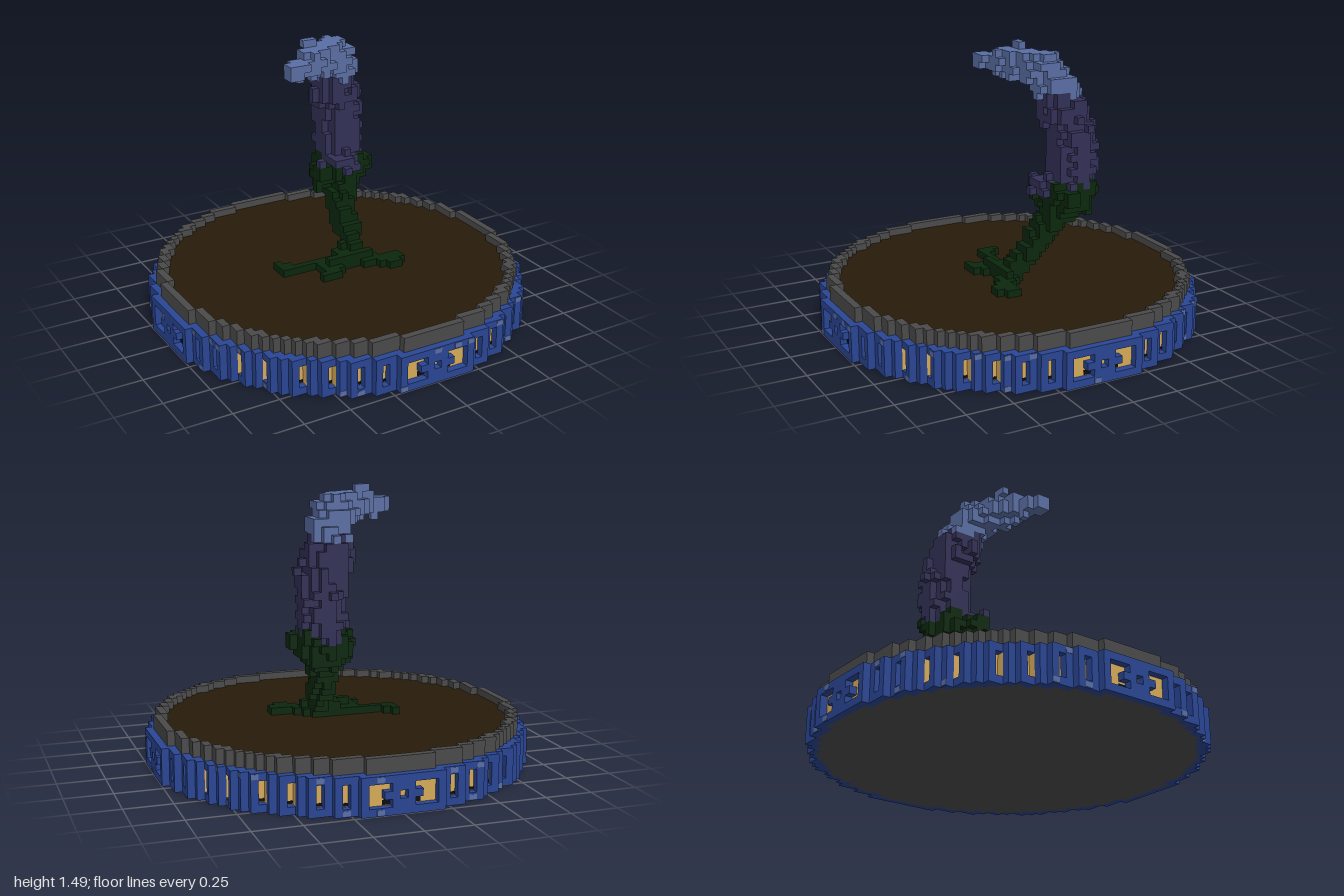
import * as THREE from 'three';
import { mergeGeometries } from 'three/addons/utils/BufferGeometryUtils.js';

const V = 2 / 51; // block size; one block column stands on the centre

const mat = (name, color) => {
  const m = new THREE.MeshStandardMaterial({ color });
  m.name = name;
  return m;
};

// small repeatable noise per block, 0..1
const hash = (i, j, k) => {
  const s = Math.sin(i * 12.99 + j * 78.23 + k * 37.72) * 43758.55;
  return s - Math.floor(s);
};

// last block of a disc (radius R in blocks) in row r
const lastBlock = (R, r) => Math.floor(Math.sqrt(R * R - r * r));

// stair-stepped circle outline
function steppedCircle(R) {
  const right = [];
  const rows = Math.floor(R);
  for (let r = -rows; r <= rows; r++) {
    const w = (lastBlock(R, r) + 0.5) * V;
    right.push(new THREE.Vector2(w, (r - 0.5) * V), new THREE.Vector2(w, (r + 0.5) * V));
  }
  const left = right.map(p => new THREE.Vector2(-p.x, p.y)).reverse();
  return right.concat(left);
}

// stepped disc, or ring if an inner radius is given; all sizes in blocks
function steppedDisc(name, R, inner, y0, y1, material) {
  const shape = new THREE.Shape(steppedCircle(R));
  if (inner) shape.holes.push(new THREE.Path(steppedCircle(inner)));
  const g = new THREE.ExtrudeGeometry(shape, { depth: (y1 - y0) * V, bevelEnabled: false });
  g.rotateX(-Math.PI / 2);
  g.translate(0, y0 * V, 0);
  const m = new THREE.Mesh(g, material);
  m.name = name;
  return m;
}

// a column of blocks from row j to row j + h
const block = (i, j, k, h = 1) =>
  new THREE.BoxGeometry(V, h * V, V).translate(i * V, (j + h / 2) * V, k * V);

export function createModel() {
  const root = new THREE.Group();
  root.name = 'sculptureOnPlinth';
  const blue = mat('blue wall', 0x294593);
  const grey = mat('grey stone', 0x4a4a4a);
  const soil = mat('brown soil', 0x271a09);
  const gold = mat('gold window', 0xd6aa58);
  const dark = mat('dark gap', 0x0a0c10);
  const green = mat('dark green', 0x0b270d);
  const purple = mat('dusky purple', 0x323056);
  const pale = mat('pale blue', 0x5a6ea4);
  const add = (name, geometry, material, parent = root) => {
    const m = new THREE.Mesh(geometry, material);
    m.name = name;
    parent.add(m);
    return m;
  };

  // plinth: blue bands above and below the window row, gold core behind it
  root.add(
    steppedDisc('lowerBand', 25.5, 24.5, 0, 1, blue),
    steppedDisc('upperBand', 25.5, 24.5, 4, 5, blue),
    steppedDisc('windowCore', 24.5, 0, 1, 4, gold),
    steppedDisc('plinthUnderside', 24.5, 0, 0, 0.5, grey),
    steppedDisc('soilBed', 23.5, 0, 5, 6, soil),
    steppedDisc('plinthRim', 24.5, 23.5, 5, 7, grey)
  );

  // window row: wall blocks with recessed openings on all four sides
  const wall = [];
  for (let i = -25; i <= 25; i++)
    for (let k = -25; k <= 25; k++) {
      const d = Math.hypot(i, k);
      if (d <= 24.5 || d > 25.5) continue;
      const u = Math.min(Math.abs(i), Math.abs(k));
      if (u === 0) wall.push(block(i, 1, k), block(i, 3, k));
      else if (u === 2) wall.push(block(i, 2, k));
      else if (![3, 4, 7, 10, 13, 16].includes(u)) wall.push(block(i, 1, k, 3));
    }
  add('windowWall', mergeGeometries(wall), blue);

  // small wall details, repeated on four sides
  for (let s = 0; s < 4; s++) {
    const side = new THREE.Group();
    side.name = 'wallSide';
    side.rotation.y = s * Math.PI / 2;
    root.add(side);
    const plate = (name, i, y, w, h, R, material) =>
      add(name, new THREE.BoxGeometry(w, h, 0.004), material, side)
        .position.set(i * V, y, (lastBlock(R, i) + 0.5) * V);
    for (const d of [-1, 1]) {
      plate('windowShadowGap', d * 2, 0.055, V, 0.025, 24.5, dark);
      for (const i of [7, 10, 13, 16]) plate('narrowGap', d * i, 0.05, V, 0.015, 24.5, dark);
    }
    // weathered patches
    for (let n = 0; n < 9; n++) {
      const i = Math.round((hash(n, s, 1) - 0.5) * 36);
      plate('palePatch', i, n % 2 ? 0.018 : 0.178, V, 0.026, 25.5, pale);
    }
  }

  // block figure: spheres swept along paths, then cut into blocks
  const cells = new Map();
  const put = (i, j, k) => cells.set(`${i},${j},${k}`, [i, j, k]);
  const fill = (x, y, z, r) => {
    const lo = c => Math.floor((c - r * 1.2) / V), hi = c => Math.ceil((c + r * 1.2) / V);
    for (let i = lo(x); i <= hi(x); i++)
      for (let j = Math.max(6, lo(y)); j <= hi(y); j++)
        for (let k = lo(z); k <= hi(z); k++) {
          const d = Math.hypot(i * V - x, (j + 0.5) * V - y, k * V - z);
          if (d < r * (0.85 + 0.25 * hash(i, j, k))) put(i, j, k);
        }
  };
  const sweep = pts => {
    for (let n = 0; n < pts.length - 1; n++)
      for (let t = 0; t <= 1; t += 0.125)
        fill(...pts[n].map((a, q) => a + (pts[n + 1][q] - a) * t));
  };
  // curved body, from foot to tip
  sweep([
    [0.07, 0.26, 0.03, 0.06], [0.1, 0.33, -0.02, 0.055], [0.11, 0.42, -0.09, 0.065],
    [0.12, 0.52, -0.16, 0.07], [0.15, 0.6, -0.21, 0.075], [0.15, 0.68, -0.27, 0.13],
    [0.17, 0.74, -0.28, 0.13], [0.18, 0.84, -0.29, 0.122], [0.18, 0.98, -0.29, 0.12],
    [0.15, 1.1, -0.27, 0.12], [0.12, 1.2, -0.25, 0.115], [0.11, 1.28, -0.21, 0.105],
    [0.08, 1.35, -0.18, 0.105], [0, 1.38, -0.12, 0.085], [-0.1, 1.38, -0.06, 0.075],
    [-0.2, 1.37, -0.01, 0.055], [-0.26, 1.375, 0.02, 0.04]
  ]);
  // collar where the body leaves the stem
  sweep([[0.03, 0.69, -0.2, 0.06], [0.12, 0.74, -0.13, 0.05], [0.27, 0.7, -0.21, 0.06]]);
  // spreading roots
  sweep([[0.08, 0.26, 0.04, 0.06], [-0.04, 0.25, 0.07, 0.05], [-0.14, 0.25, 0.15, 0.04]]);
  sweep([[0.08, 0.26, 0.03, 0.06], [-0.06, 0.25, 0.02, 0.04], [-0.2, 0.25, 0, 0.03], [-0.31, 0.25, -0.02, 0.03], [-0.32, 0.25, -0.08, 0.03]]);
  sweep([[0.1, 0.26, 0.05, 0.055], [0.2, 0.25, 0.12, 0.035], [0.27, 0.25, 0.19, 0.035]]);
  sweep([[0.23, 0.25, 0.16, 0.03], [0.31, 0.25, 0.13, 0.035]]);
  // loose single blocks: [i, j, k]
  for (const c of [[8, 27, -8], [8, 17, -6], [0, 15, -5], [0, 16, -5], [0, 19, -4], [4, 24, -11],
    [-3, 37, -3], [-2, 37, -3], [-4, 36, -2], [1, 36, -4], [0, 29, -6], [0, 28, -6]]) put(...c);

  const parts = { greenBase: [], purpleBody: [], paleTip: [] };
  for (const [i, j, k] of cells.values()) {
    const hidden = [[1, 0, 0], [-1, 0, 0], [0, 1, 0], [0, -1, 0], [0, 0, 1], [0, 0, -1]]
      .every(([a, b, c]) => cells.has(`${i + a},${j + b},${k + c}`));
    if (hidden) continue;
    const y = (j + 0.5) * V + (hash(i, 3, k) - 0.5) * 0.06;
    // the green climbs higher at the sides than in the middle
    const greenTop = 0.69 + 0.09 * Math.min(1, Math.abs(i * V - 0.16) / 0.12);
    const part = y < greenTop ? 'greenBase' : y < 1.24 ? 'purpleBody' : 'paleTip';
    parts[part].push(block(i, j, k));
  }
  const colours = { greenBase: green, purpleBody: purple, paleTip: pale };
  for (const name in parts) add(name, mergeGeometries(parts[name]), colours[name]);
  return root;
}
